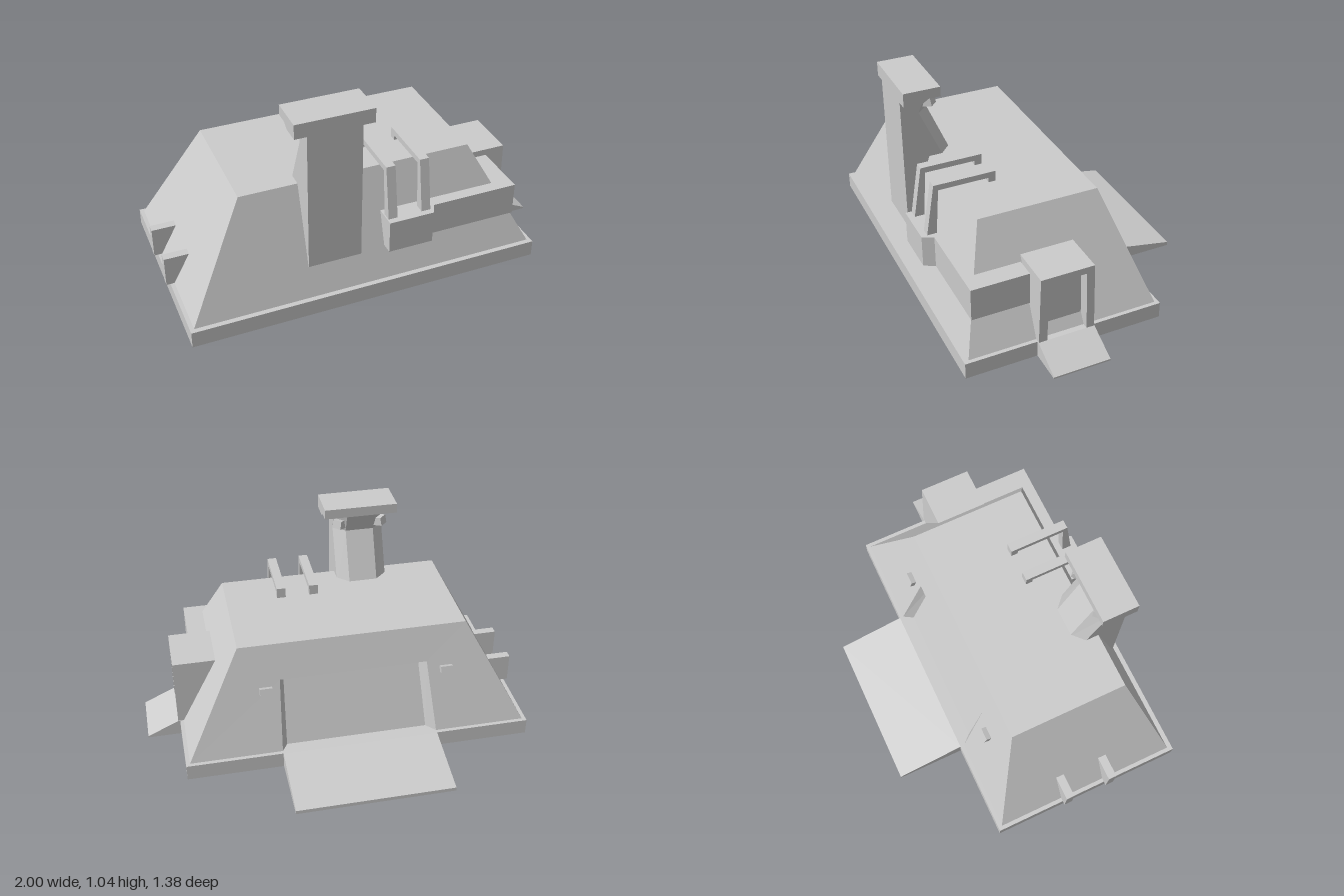
import * as THREE from 'three';

const material = new THREE.MeshStandardMaterial({ color: 0xcccccc, flatShading: true });

// Flat polygons from corner lists, counter-clockwise seen from outside
function polygons(faces) {
  const pos = [];
  for (const f of faces)
    for (let i = 1; i < f.length - 1; i++) pos.push(...f[0], ...f[i], ...f[i + 1]);
  const g = new THREE.BufferGeometry();
  g.setAttribute('position', new THREE.Float32BufferAttribute(pos, 3));
  g.computeVertexNormals();
  return g;
}

// Skin over stacked rings (counter-clockwise from above), capped at both ends
function loft(rings) {
  const n = rings[0].length;
  const faces = [[...rings[0]].reverse(), rings[rings.length - 1]];
  for (let r = 0; r < rings.length - 1; r++)
    for (let i = 0; i < n; i++) {
      const j = (i + 1) % n;
      faces.push([rings[r][i], rings[r][j], rings[r + 1][j], rings[r + 1][i]]);
    }
  return polygons(faces);
}

const extrude = (pts, depth) => new THREE.ExtrudeGeometry(
  new THREE.Shape(pts.map(p => new THREE.Vector2(...p))), { depth, bevelEnabled: false });
// Profile of [z, y] points swept along x
const extrudeX = (pts, x0, x1) =>
  extrude(pts.map(([z, y]) => [-z, y]), x1 - x0).rotateY(Math.PI / 2).translate(x0, 0, 0);
// Plan of [x, z] points swept along y
const extrudeY = (pts, y0, y1) =>
  extrude(pts.map(([x, z]) => [x, -z]), y1 - y0).rotateX(-Math.PI / 2).translate(0, y0, 0);
// Profile of [x, y] points swept along z
const extrudeZ = (pts, z0, z1) => extrude(pts, z1 - z0).translate(0, 0, z0);
const box = (x0, x1, y0, y1, z0, z1) =>
  new THREE.BoxGeometry(x1 - x0, y1 - y0, z1 - z0)
    .translate((x0 + x1) / 2, (y0 + y1) / 2, (z0 + z1) / 2);

export function createModel() {
  const model = new THREE.Group();
  model.name = 'bunker';
  const add = (name, geometry, parent = model) => {
    const mesh = new THREE.Mesh(geometry, material);
    mesh.name = name;
    parent.add(mesh);
    return mesh;
  };

  add('baseSlab', box(-0.98, 0.825, 0, 0.085, -0.34, 0.69));

  // Sloped body with a recessed gate in its back wall
  const y0 = 0.085, y1 = 0.63, gateTop = 0.45;
  const fl = [-0.96, y0, 0.665], fr = [0.805, y0, 0.665];
  const bl = [-0.96, y0, -0.32], br = [0.805, y0, -0.32];
  const tfl = [-0.665, y1, 0.485], tfr = [0.515, y1, 0.485];
  const tbl = [-0.665, y1, -0.137], tbr = [0.515, y1, -0.137];
  const g0 = [-0.485, y0, -0.32], g1 = [0.33, y0, -0.32];
  const g2 = [0.315, gateTop, -0.197], g3 = [-0.45, gateTop, -0.197];
  const d0 = [-0.44, y0, -0.27], d1 = [0.3, y0, -0.27];
  const d2 = [0.29, gateTop, -0.147], d3 = [-0.415, gateTop, -0.147];
  add('slopedBody', polygons([
    [fl, fr, tfr, tfl], [fr, br, tbr, tfr], [bl, fl, tfl, tbl], [tfl, tfr, tbr, tbl],
    [br, g1, g2, tbr], [g0, bl, tbl, g3], [g2, g3, tbl, tbr],
  ]));
  add('backGate', polygons([
    [d1, d0, d3, d2], [g1, d1, d2, g2], [d0, g0, g3, d3], [d2, d3, g3, g2],
  ]));
  add('backRamp', extrudeX([[-0.34, 0], [-0.34, 0.085], [-0.695, 0.02], [-0.695, 0]], -0.485, 0.33));

  // Small lamps either side of the gate
  for (const x of [-0.55, 0.39]) {
    const lamp = add('gateLamp', new THREE.BoxGeometry(0.065, 0.035, 0.05));
    lamp.position.set(x, 0.405, -0.215);
    lamp.rotation.x = 0.33;
  }

  // Side entrance: solid rear, door frame and ramp
  add('entranceBlock', extrudeX([[0.325, 0], [0.03, 0], [0.04, 0.445], [0.315, 0.445]], 0.605, 0.775));
  add('entranceFrame', extrudeX([
    [0.325, 0], [0.28, 0], [0.275, 0.41], [0.08, 0.41], [0.07, 0],
    [0.03, 0], [0.04, 0.445], [0.315, 0.445],
  ], 0.775, 0.835));
  add('entranceRamp', extrudeZ([[0.78, 0], [1, 0], [1, 0.008], [0.835, 0.085], [0.78, 0.085]], 0.03, 0.325));

  // Ledge wrapping the front corner
  add('cornerLedge', extrudeY([
    [0.02, 0.67], [0.25, 0.67], [0.28, 0.615], [0.73, 0.615], [0.73, 0.32],
    [0.55, 0.32], [0.55, 0.5], [0.02, 0.5],
  ], 0.245, 0.415));

  // Tower with chamfered, leaning back
  const ring = (y, side, rear) => [
    [-0.375, y, 0.62], [-0.105, y, 0.62], [-0.105, y, side],
    [-0.165, y, rear], [-0.315, y, rear], [-0.375, y, side],
  ];
  const tower = new THREE.Group();
  tower.name = 'tower';
  model.add(tower);
  add('towerColumn', loft([
    ring(0.235, 0.585, 0.525), ring(0.6, 0.403, 0.347),
    ring(0.885, 0.527, 0.467), ring(0.985, 0.49, 0.432),
  ]), tower);
  add('towerCap', extrudeX([
    [0.62, 0.963], [0.527, 0.963], [0.492, 0.985], [0.43, 0.985], [0.43, 1.037], [0.62, 1.037],
  ], -0.435, -0.045), tower);
  for (const s of [-1, 1]) {
    const lamp = add('towerLamp', new THREE.BoxGeometry(0.05, 0.045, 0.05), tower);
    lamp.position.set(-0.24 + s * 0.11, 0.932, 0.465);
    lamp.rotation.set(0.2, -s * 0.78, 0, 'YXZ');
  }

  // Bent rails from the ledge over the roof edge
  const railProfile = [
    [0.64, 0.41], [0.595, 0.685], [0.275, 0.685], [0.275, 0.62],
    [0.312, 0.62], [0.312, 0.655], [0.572, 0.655], [0.59, 0.41],
  ];
  for (const x of [0.026, 0.2]) add('roofRail', extrudeX(railProfile, x, x + 0.047));

  // Buttress fins on the far side
  for (const z of [0.028, 0.272]) add('buttress', box(-1, -0.87, 0.085, 0.24, z, z + 0.043));

  return model;
}
